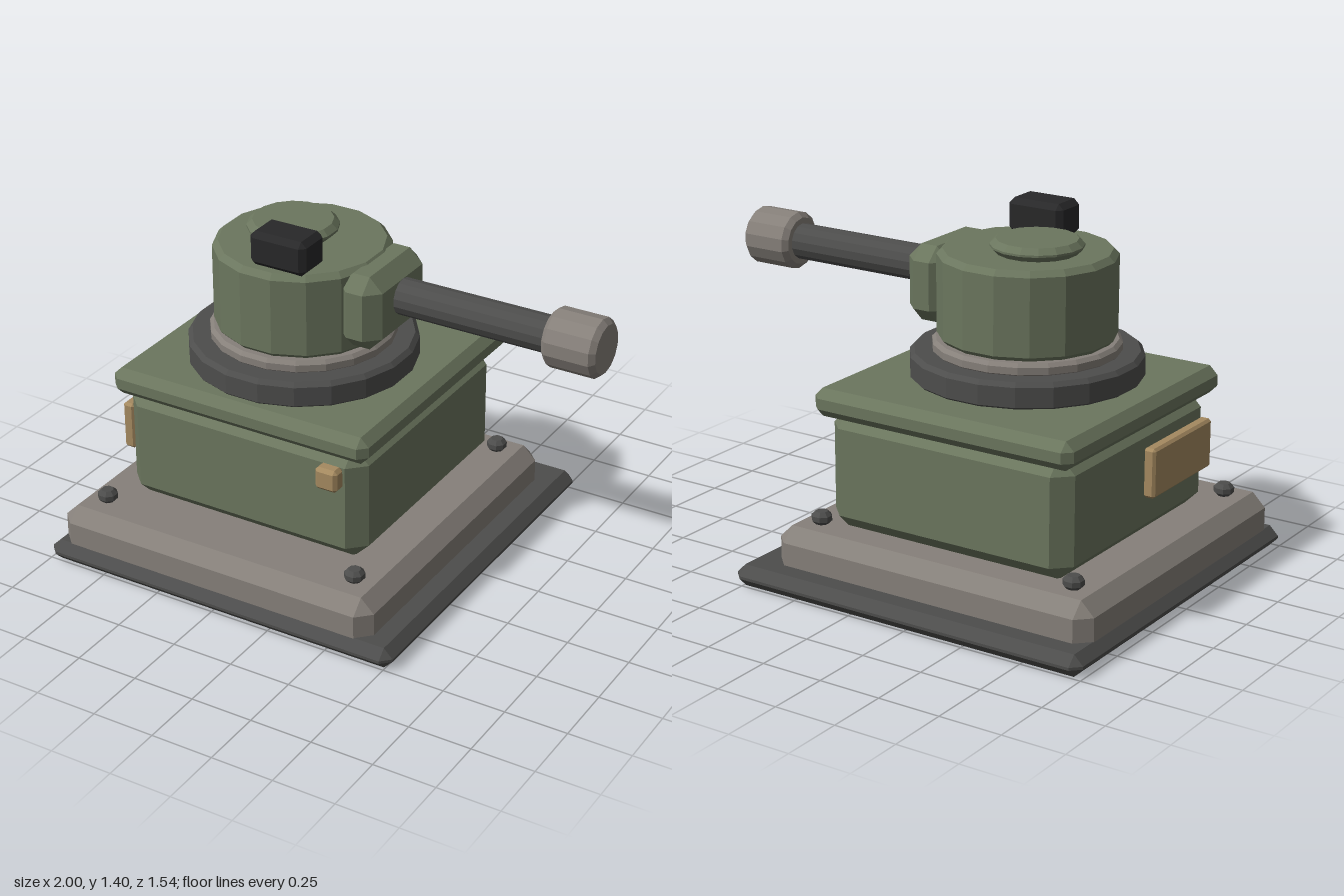
import * as THREE from 'three';
import { ConvexGeometry } from 'three/addons/geometries/ConvexGeometry.js';

const material = (name, color) => {
  const m = new THREE.MeshStandardMaterial({ color });
  m.name = name;
  return m;
};

// Box from min corner to max corner with every edge cut at 45 degrees
function chamferBox(min, max, c) {
  const half = min.map((v, i) => (max[i] - v) / 2);
  const points = [];
  for (const sx of [-1, 1]) for (const sy of [-1, 1]) for (const sz of [-1, 1]) {
    for (let axis = 0; axis < 3; axis++) {
      const [x, y, z] = half.map((h, i) => (i === axis ? h : h - c));
      points.push(new THREE.Vector3(sx * x, sy * y, sz * z));
    }
  }
  const g = new ConvexGeometry(points);
  g.translate(...min.map((v, i) => (v + max[i]) / 2));
  return g;
}

// Faceted drum standing on y = 0 with both rims chamfered
function drum(radius, height, c, sides) {
  const profile = [
    [0, 0], [radius - c, 0], [radius, c],
    [radius, height - c], [radius - c, height], [0, height],
  ].map(([x, y]) => new THREE.Vector2(x, y));
  const g = new THREE.LatheGeometry(profile, sides).toNonIndexed();
  g.rotateY(Math.PI / sides);
  g.computeVertexNormals();
  return g;
}

export function createModel() {
  const model = new THREE.Group();
  model.name = 'turretEmplacement';

  const green = material('olive green', 0x6b765e);
  const stone = material('warm grey', 0x86807a);
  const dark = material('dark grey', 0x4d4d4c);
  const black = material('black', 0x282829);
  const tan = material('tan', 0xa58a60);

  const add = (name, geometry, mat, parent = model) => {
    const mesh = new THREE.Mesh(geometry, mat);
    mesh.name = name;
    parent.add(mesh);
    return mesh;
  };
  const box = (name, min, max, c, mat, parent) => add(name, chamferBox(min, max, c), mat, parent);
  const round = (name, [x, y, z], r, h, c, sides, mat, parent) => {
    const mesh = add(name, drum(r, h, c, sides), mat, parent);
    mesh.position.set(x, y, z);
    return mesh;
  };

  // Stepped foundation
  box('basePlate', [-1, 0, -0.77], [0.53, 0.085, 0.77], 0.037, dark);
  box('foundationSlab', [-0.965, 0.02, -0.66], [0.42, 0.23, 0.735], 0.055, stone);

  // Anchor bolts at the four corners of the slab
  for (const x of [-0.83, 0.285]) for (const z of [-0.525, 0.59]) {
    round('anchorBolt', [x, 0.228, z], 0.04, 0.052, 0.016, 8, dark);
  }

  // Housing, its lid and the tan plates
  box('housing', [-0.8, 0.22, -0.54], [0.255, 0.695, 0.5], 0.065, green);
  box('housingLid', [-0.835, 0.67, -0.577], [0.29, 0.78, 0.53], 0.034, green);
  box('sidePanel', [-0.845, 0.395, 0.01], [-0.795, 0.59, 0.445], 0.01, tan);
  box('frontBadge', [0.09, 0.545, 0.495], [0.185, 0.637, 0.556], 0.014, tan);

  // Rotating turret
  const turret = new THREE.Group();
  turret.name = 'turret';
  model.add(turret);
  const cx = -0.27, cz = 0.036;
  round('turntableRing', [cx, 0.77, cz], 0.445, 0.11, 0.017, 20, dark, turret);
  round('bearingCollar', [cx, 0.87, cz], 0.36, 0.055, 0.014, 20, stone, turret);
  round('turretDrum', [cx, 0.92, cz], 0.341, 0.345, 0.022, 16, green, turret);
  round('hatch', [-0.33, 1.268, 0.005], 0.177, 0.052, 0.022, 16, green, turret);
  box('sightBox', [-0.32, 1.262, 0.18], [-0.08, 1.4, 0.335], 0.022, black, turret);

  // Gun along +x
  box('mantlet', [-0.015, 0.96, -0.165], [0.165, 1.257, 0.24], 0.055, green, turret);
  const barrel = round('barrel', [0.1, 1.132, cz], 0.071, 0.72, 0.01, 14, dark, turret);
  const muzzle = round('muzzle', [0.785, 1.132, cz], 0.114, 0.215, 0.02, 14, stone, turret);
  for (const part of [barrel, muzzle]) part.rotation.z = -Math.PI / 2;

  return model;
}
